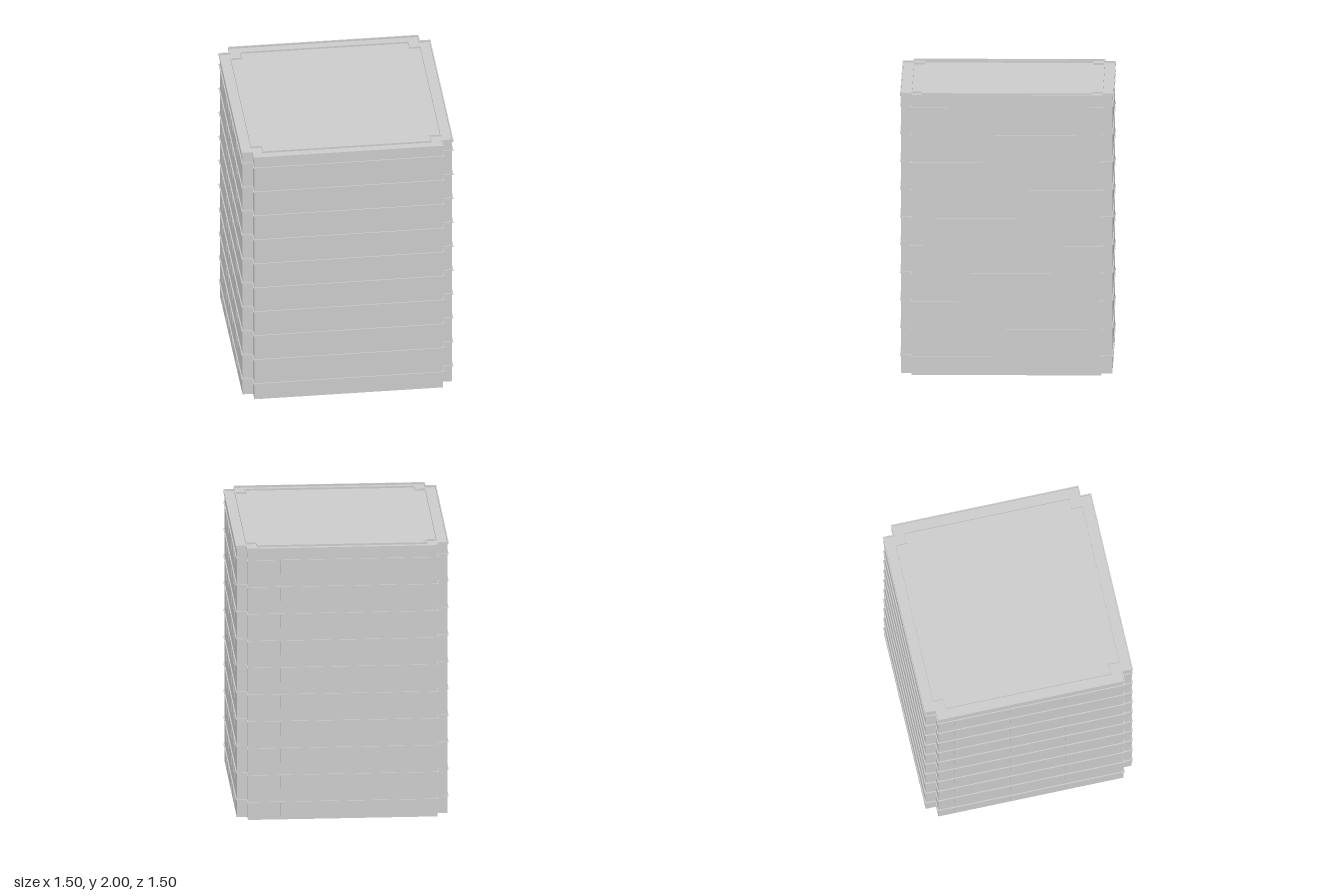
import * as THREE from 'three';

const material = new THREE.MeshStandardMaterial({ color: 0xcccccc, flatShading: true });
const NOTCH = 0.075;

// Square outline with a square notch cut from every corner
function outline(half, PathType = THREE.Shape) {
  const h = half, n = half - NOTCH;
  return new PathType([
    [n, -h], [n, -n], [h, -n], [h, n], [n, n], [n, h],
    [-n, h], [-n, n], [-h, n], [-h, -n], [-n, -n], [-n, -h],
  ].map(([x, y]) => new THREE.Vector2(x, y)));
}

// Notched plate from y0 to y1, hollow if an inner half-width is given
function plate(name, half, y0, y1, innerHalf) {
  const shape = outline(half);
  if (innerHalf) shape.holes.push(outline(innerHalf, THREE.Path));
  const geometry = new THREE.ExtrudeGeometry(shape, { depth: y1 - y0, bevelEnabled: false });
  geometry.rotateX(-Math.PI / 2).translate(0, y0, 0);
  const mesh = new THREE.Mesh(geometry, material);
  mesh.name = name;
  return mesh;
}

export function createModel() {
  const building = new THREE.Group();
  building.name = 'building';
  const wall = 0.7425, edge = 0.75;

  // Main block and roof deck
  building.add(plate('walls', wall, 0, 1.98));
  building.add(plate('roofDeck', edge, 1.978, 1.986));

  // Thin raised lips round the roof edge and the inner roof
  building.add(plate('outerRoofLip', edge, 1.986, 2, wall));
  building.add(plate('innerRoofLip', 0.675, 1.986, 2, 0.6675));

  // Window rows on one facade: count panes at an even pitch
  const addWindows = (floor, top, angle, count, pitch, width) => {
    const row = new THREE.Group();
    row.name = 'windowRow';
    const geometry = new THREE.BoxGeometry(width, 0.1, 0.006);
    for (let i = 0; i < count; i++) {
      const pane = new THREE.Mesh(geometry, material);
      pane.name = 'windowPane';
      pane.position.set((i - (count - 1) / 2) * pitch, top - 0.05, wall - 0.001);
      row.add(pane);
    }
    row.rotation.y = angle;
    floor.add(row);
  };

  // Ten storeys, each with a thin floor ledge and windows hung below it
  for (let i = 0; i < 10; i++) {
    const y = 0.128 + i * 0.1978;
    const floor = new THREE.Group();
    floor.name = 'storey';
    floor.add(plate('floorLedge', edge, y - 0.0035, y + 0.0035));
    for (let side = 0; side < 4; side++) {
      const wide = side % 2 === 0;
      addWindows(floor, y - 0.0035, side * Math.PI / 2,
        wide ? 6 : 14, wide ? 0.225 : 0.08, wide ? 0.2 : 0.06);
    }
    building.add(floor);
  }
  return building;
}
